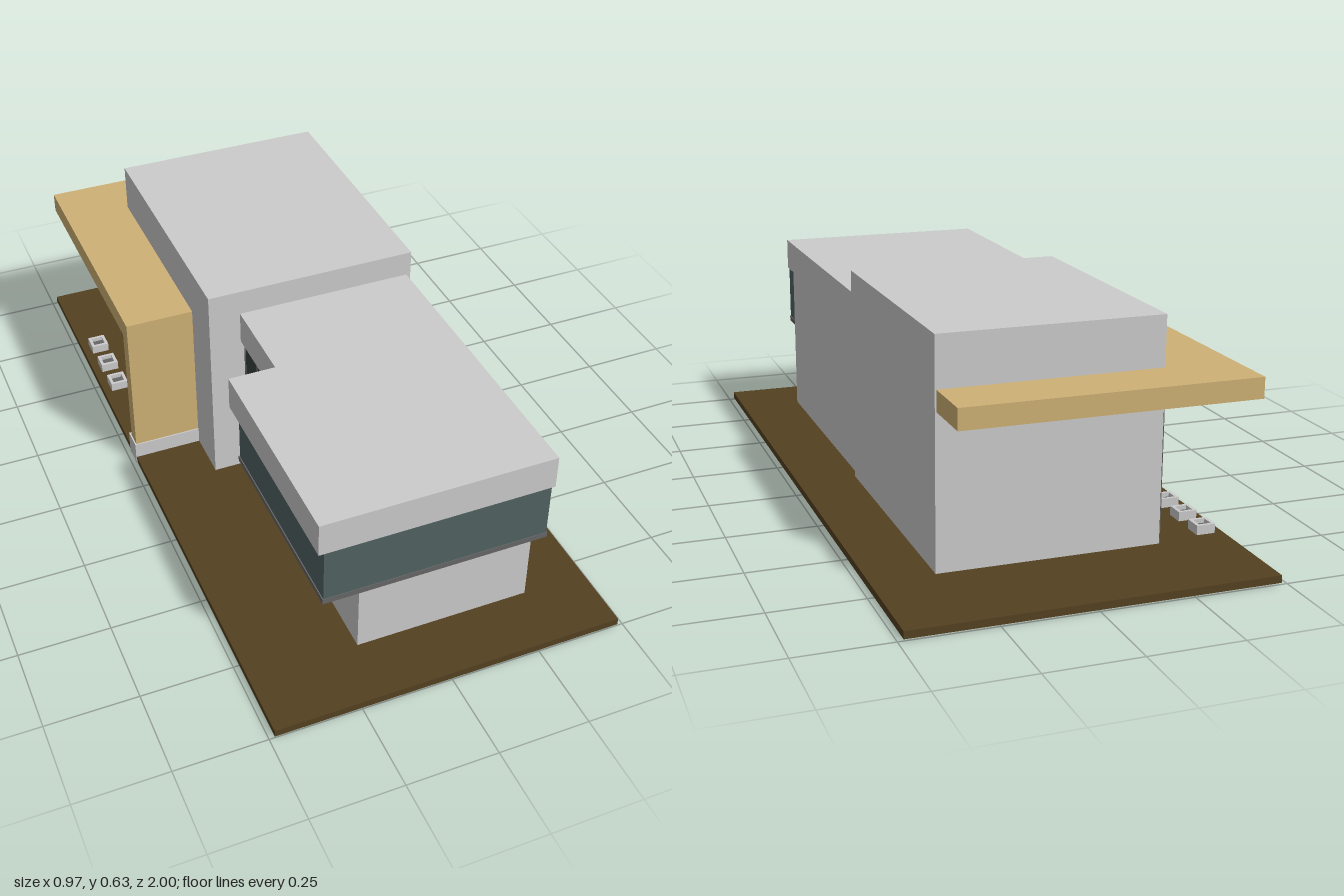
import * as THREE from 'three';

const mat = (color) => new THREE.MeshStandardMaterial({ color });
const wall = mat(0xcccccc);
const wood = mat(0xcfb175);
const soil = mat(0x544121);
const glass = mat(0x526262);
const frame = mat(0x666666);
const darkGlass = mat(0x38423f);

export function createModel() {
  const house = new THREE.Group();
  house.name = 'house';

  // Box given by its min and max on each axis
  function box(name, material, x0, x1, y0, y1, z0, z1, parent = house) {
    const mesh = new THREE.Mesh(new THREE.BoxGeometry(x1 - x0, y1 - y0, z1 - z0), material);
    mesh.position.set((x0 + x1) / 2, (y0 + y1) / 2, (z0 + z1) / 2);
    mesh.name = name;
    parent.add(mesh);
    return mesh;
  }

  // Slab extruded upward from a plan outline of [x, z] points
  function slab(name, material, outline, y0, y1) {
    const shape = new THREE.Shape(outline.map(([x, z]) => new THREE.Vector2(x, -z)));
    const geometry = new THREE.ExtrudeGeometry(shape, { depth: y1 - y0, bevelEnabled: false });
    geometry.rotateX(-Math.PI / 2);
    const mesh = new THREE.Mesh(geometry, material);
    mesh.position.y = y0;
    mesh.name = name;
    house.add(mesh);
  }

  function downlight(x, y, z) {
    const light = new THREE.Mesh(new THREE.CylinderGeometry(0.011, 0.011, 0.006, 16), frame);
    light.position.set(x, y, z);
    light.name = 'downlight';
    house.add(light);
  }

  box('ground', soil, -0.485, 0.485, 0.004, 0.024, -1, 1);

  // Main volumes
  box('rearBlock', wall, -0.29, 0.316, 0.02, 0.633, -0.715, 0.04);
  box('frontBlock', wall, -0.185, 0.304, 0.02, 0.468, 0.04, 0.822);
  slab('frontRoof', wall, [
    [-0.2, 0.04], [-0.2, 0.3], [-0.33, 0.3], [-0.33, 0.9], [0.304, 0.9], [0.304, 0.04],
  ], 0.468, 0.561);

  // Cantilevered window band with its floor
  slab('windowFloor', frame, [
    [-0.314, 0.315], [-0.314, 0.89], [0.304, 0.89], [0.304, 0.822], [-0.185, 0.822], [-0.185, 0.315],
  ], 0.29, 0.305);
  slab('windowBand', glass, [
    [-0.311, 0.318], [-0.311, 0.888], [0.302, 0.888], [0.302, 0.822], [-0.185, 0.822], [-0.185, 0.318],
  ], 0.305, 0.468);
  for (const z of [0.42, 0.6, 0.78]) downlight(-0.25, 0.288, z);

  // Glazing beside the recessed entrance
  box('entranceGlazing', darkGlass, -0.188, -0.18, 0.024, 0.468, 0.04, 0.315);
  for (let i = 0; i <= 3; i++) {
    const z = 0.043 + i * 0.09;
    box('entranceMullion', frame, -0.19, -0.18, 0.024, 0.468, z - 0.003, z + 0.003);
  }

  // Glazed wall under the canopy
  box('terraceGlazing', darkGlass, -0.293, -0.28, 0.024, 0.44, -0.71, -0.15);
  for (let i = 0; i <= 5; i++) {
    const z = -0.707 + i * 0.111;
    box('terraceMullion', frame, -0.295, -0.28, 0.024, 0.44, z - 0.003, z + 0.003);
  }

  // Wooden canopy wrapping the rear corner, with its side wall
  slab('canopy', wood, [
    [-0.483, -0.872], [-0.483, -0.108], [-0.28, -0.108], [-0.28, -0.71], [0.312, -0.71], [0.312, -0.872],
  ], 0.44, 0.496);
  box('canopyWall', wood, -0.483, -0.285, 0.02, 0.44, -0.152, -0.108);
  for (let i = 0; i < 5; i++) downlight(-0.38, 0.438, -0.8 + i * 0.14);

  // Plinth around the foot of the canopy wall
  box('plinthInner', wall, -0.487, -0.285, 0, 0.07, -0.166, -0.15);
  box('plinthOuter', wall, -0.487, -0.285, 0, 0.07, -0.12, -0.104);
  box('plinthEnd', wall, -0.487, -0.475, 0.005, 0.07, -0.15, -0.12);

  // Row of small square planters
  const rim = new THREE.Shape();
  const square = (path, r) => path.moveTo(-r, -r).lineTo(r, -r).lineTo(r, r).lineTo(-r, r).closePath();
  square(rim, 0.026);
  const hole = new THREE.Path();
  square(hole, 0.017);
  rim.holes.push(hole);
  const rimGeometry = new THREE.ExtrudeGeometry(rim, { depth: 0.03, bevelEnabled: false });
  rimGeometry.rotateX(-Math.PI / 2);
  for (const z of [-0.67, -0.565, -0.46]) {
    const planter = new THREE.Group();
    planter.name = 'planter';
    const shell = new THREE.Mesh(rimGeometry, wall);
    shell.name = 'planterRim';
    shell.position.y = 0.02;
    planter.add(shell);
    box('planterFill', frame, -0.018, 0.018, 0.02, 0.038, -0.018, 0.018, planter);
    planter.position.set(-0.435, 0, z);
    house.add(planter);
  }

  return house;
}
